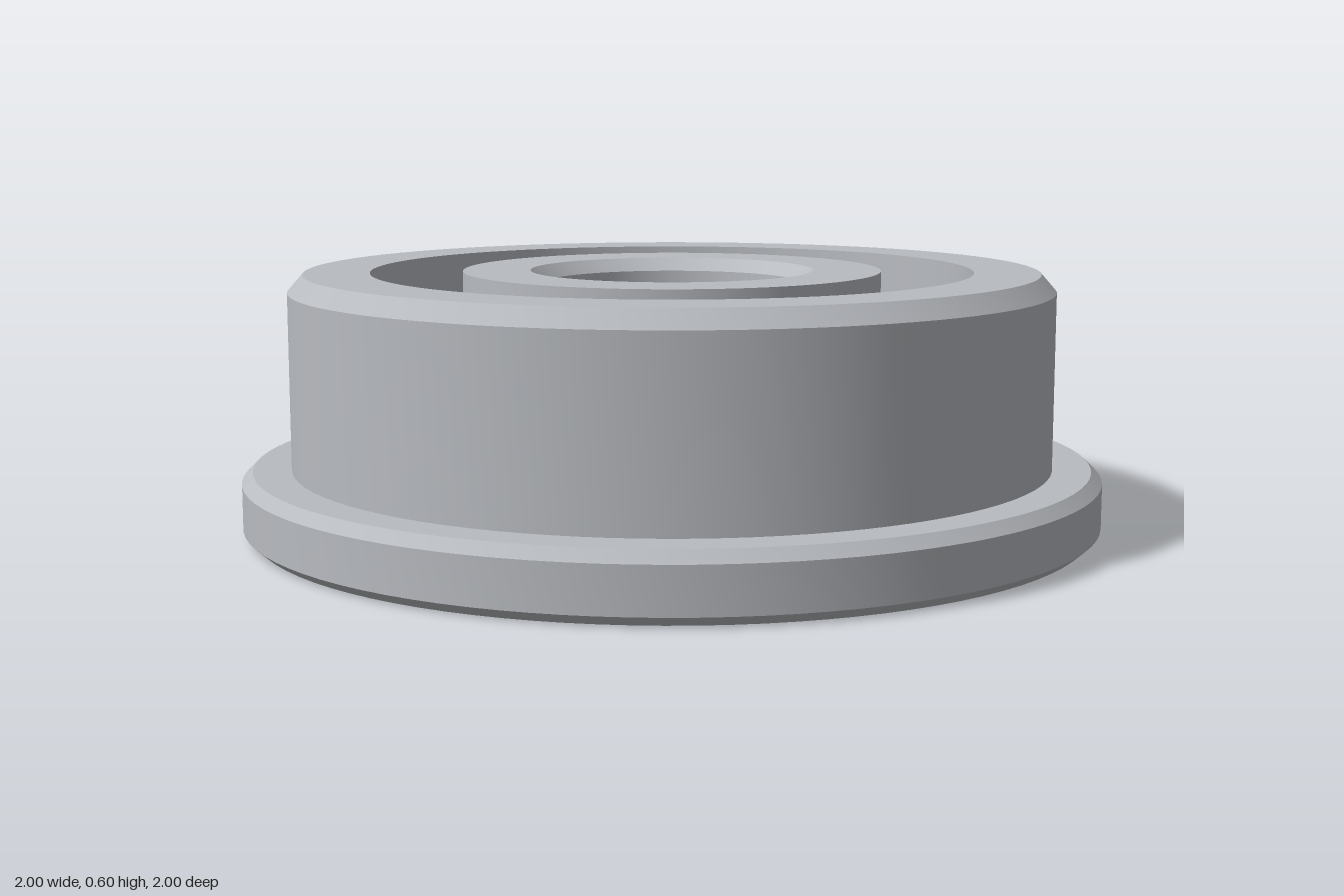
import * as THREE from 'three';
import { toCreasedNormals } from 'three/addons/utils/BufferGeometryUtils.js';

const HEIGHT = 0.597, MID = HEIGHT / 2;
const PITCH = 0.59, BALL_RADIUS = 0.165, BALL_COUNT = 8;

// Points of a ball groove cut into a race wall at radius wallR, listed upwards
function groove(wallR, steps = 14) {
  const r = BALL_RADIUS + 0.002;
  const dx = wallR - PITCH, half = Math.acos(Math.abs(dx) / r);
  const points = [];
  for (let i = 0; i <= steps; i++) {
    const a = -half + (2 * half * i) / steps;
    points.push([PITCH + Math.sign(dx) * r * Math.cos(a), MID + r * Math.sin(a)]);
  }
  return points;
}

// Spin a closed profile (outside listed upwards) into a crisp-edged ring
function ring(name, profile, material) {
  const points = [...profile, profile[0]].map(([x, y]) => new THREE.Vector2(x, y));
  const geometry = toCreasedNormals(new THREE.LatheGeometry(points, 96), 0.5);
  const mesh = new THREE.Mesh(geometry, material);
  mesh.name = name;
  return mesh;
}

export function createModel() {
  const steel = new THREE.MeshStandardMaterial({ color: 0xb8bbc0 });
  steel.name = 'steel';
  const model = new THREE.Group();
  model.name = 'flangedBallBearing';

  // Outer race with chamfered flange at the bottom
  model.add(ring('outerRace', [
    [0.70, 0], [0.975, 0], [1, 0.022], [1, 0.125], [0.975, 0.15],
    [0.887, 0.15], [0.887, 0.557], [0.852, HEIGHT], [0.70, HEIGHT],
    ...groove(0.70).reverse(),
  ], steel));

  // Inner race with chamfered bore
  model.add(ring('innerRace', [
    [0.33, 0], [0.487, 0], ...groove(0.487), [0.487, HEIGHT], [0.33, HEIGHT],
    [0.30, HEIGHT - 0.03], [0.30, 0.03],
  ], steel));

  // Balls between the races
  const balls = new THREE.Group();
  balls.name = 'balls';
  const ballGeometry = new THREE.SphereGeometry(BALL_RADIUS, 40, 24);
  for (let i = 0; i < BALL_COUNT; i++) {
    const a = (i / BALL_COUNT) * Math.PI * 2;
    const ball = new THREE.Mesh(ballGeometry, steel);
    ball.name = `ball${i + 1}`;
    ball.position.set(PITCH * Math.cos(a), MID, PITCH * Math.sin(a));
    balls.add(ball);
  }
  model.add(balls);
  return model;
}
